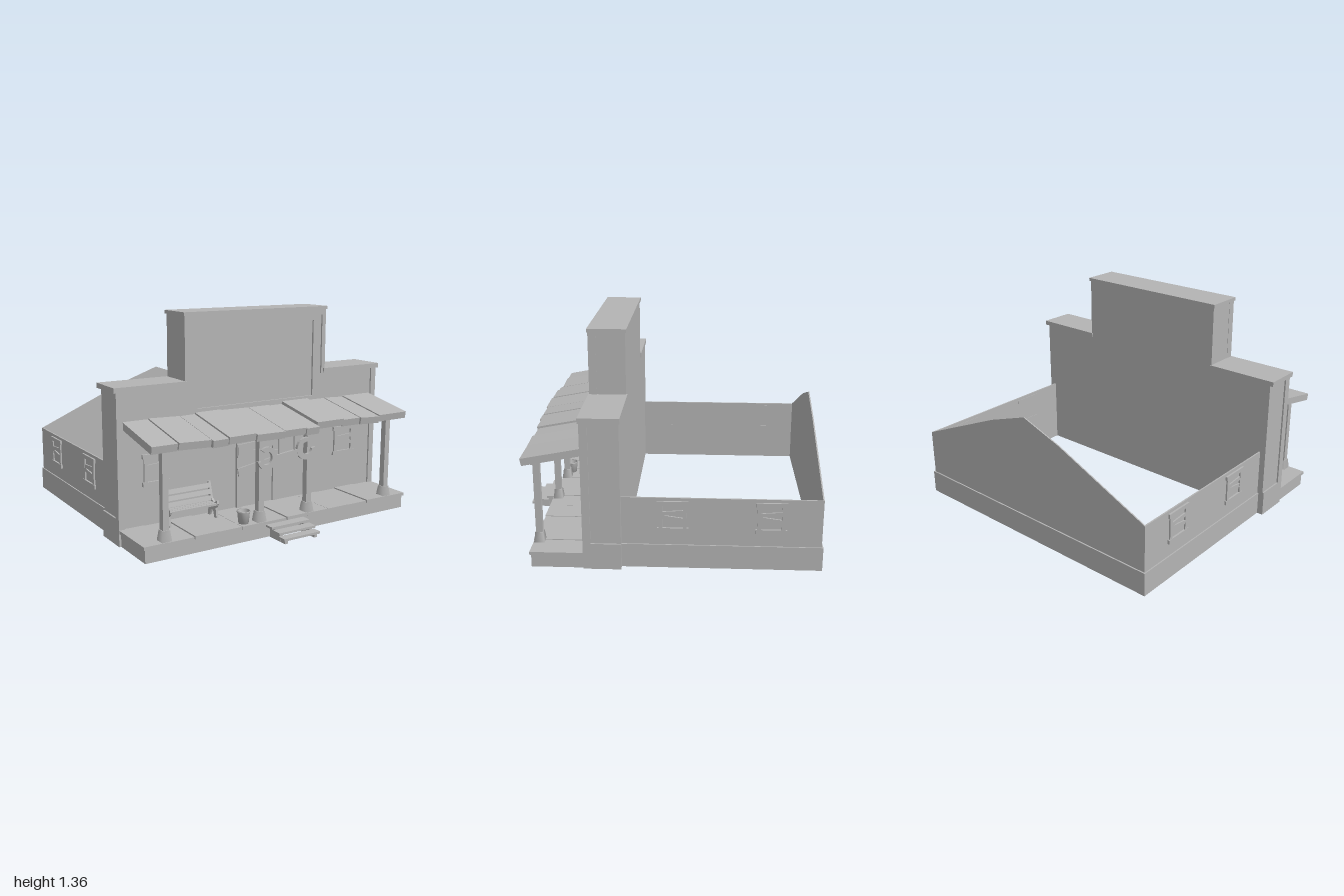
import * as THREE from 'three';

const gray = new THREE.MeshStandardMaterial({ color: 0xb4b4b4, side: THREE.DoubleSide });
gray.name = 'plain gray';

function add(parent, name, geo) {
  const mesh = new THREE.Mesh(geo, gray);
  mesh.name = name;
  parent.add(mesh);
  return mesh;
}

// box given by its extents
function span(parent, name, x0, x1, y0, y1, z0, z1) {
  const mesh = add(parent, name, new THREE.BoxGeometry(x1 - x0, y1 - y0, z1 - z0));
  mesh.position.set((x0 + x1) / 2, (y0 + y1) / 2, (z0 + z1) / 2);
  return mesh;
}

function group(parent, name) {
  const g = new THREE.Group();
  g.name = name;
  parent.add(g);
  return g;
}

const poly = pts => new THREE.Shape(pts.map(p => new THREE.Vector2(p[0], p[1])));

function plate(parent, name, shape, z0, z1) {
  const mesh = add(parent, name, new THREE.ExtrudeGeometry(shape, { depth: z1 - z0, bevelEnabled: false, curveSegments: 10 }));
  mesh.position.z = z0;
  return mesh;
}

// stepped outline of the false front, from bottom right to bottom left
const stepped = (w, h, topW, topH) => [[w, 0], [w, h], [topW, h], [topW, topH], [-topW, topH], [-topW, h], [-w, h], [-w, 0]];

function buildFacade(root) {
  const g = group(root, 'falseFront');
  const outer = stepped(0.985, 0.925, 0.532, 1.345);
  const inner = stepped(0.945, 0.92, 0.503, 1.31);
  plate(g, 'facadeBorder', poly([...outer, ...inner.reverse()]), 0.42, 0.468);
  const panel = poly(stepped(0.965, 0.925, 0.525, 1.34));
  panel.holes.push(new THREE.Path([[-0.443, 0.775], [-0.443, 1.273], [0.44, 1.273], [0.44, 0.775]].map(p => new THREE.Vector2(...p))));
  plate(g, 'facadePanel', panel, 0.435, 0.457);
  span(g, 'signBoard', -0.45, 0.45, 0.77, 1.28, 0.435, 0.444);
  plate(g, 'facadeBack', poly(stepped(0.975, 0.925, 0.53, 1.345)), 0.24, 0.25);
  for (const s of [-1, 1]) {
    const side = (name, a, b, ...rest) => span(g, name, Math.min(a * s, b * s), Math.max(a * s, b * s), ...rest);
    side('facadeSide', 0.965, 0.975, 0.1, 0.925, 0.245, 0.43);
    side('facadeSideBase', 0.965, 0.985, 0, 0.165, 0.24, 0.43);
    side('upperFacadeSide', 0.52, 0.53, 0.93, 1.345, 0.245, 0.43);
    side('lowerCap', 0.52, 1, 0.922, 0.953, 0.232, 0.474);
  }
  span(g, 'upperCap', -0.54, 0.54, 1.342, 1.364, 0.232, 0.474);
}

// boarded window facing +z, centred on its origin
function buildWindow(root, x, y, z, turn) {
  const g = group(root, 'window');
  for (const s of [-1, 1]) {
    span(g, 'windowSill', -0.093, 0.093, s * 0.085 - 0.013, s * 0.085 + 0.013, -0.013, 0.012);
    span(g, 'windowJamb', s * 0.072 - 0.011, s * 0.072 + 0.011, -0.085, 0.085, -0.004, 0.01);
  }
  for (const [by, tilt] of [[0.024, 0.08], [-0.012, -0.14]]) {
    const b = span(g, 'windowBoard', -0.07, 0.07, by - 0.012, by + 0.012, 0, 0.009);
    b.rotation.z = tilt;
  }
  g.position.set(x, y, z);
  g.rotation.y = turn;
}

function buildBackHall(root) {
  const g = group(root, 'rearHall');
  for (const s of [-1, 1]) {
    const wall = span(g, 'sideWall', -0.005, 0.005, 0.14, 0.45, -0.945, 0.245);
    wall.position.x = s * 0.932;
    const base = span(g, 'sideWallBase', -0.008, 0.008, 0, 0.15, -0.955, 0.245);
    base.position.x = s * 0.937;
    for (const z of [-0.065, -0.645]) buildWindow(g, s * 0.937, 0.333, z, s * Math.PI / 2);
  }
  plate(g, 'gableWall', poly([[-0.937, 0.14], [0.937, 0.14], [0.937, 0.45], [0.29, 0.73], [0, 0.83], [-0.29, 0.73], [-0.937, 0.45]]), -0.947, -0.939);
  span(g, 'gableWallBase', -0.945, 0.945, 0, 0.15, -0.956, -0.94);
}

function buildPorch(root) {
  const g = group(root, 'porch');
  // skirt boards and deck planks
  span(g, 'deckFrontSkirt', -0.972, 0.972, 0, 0.088, 0.765, 0.782);
  for (const s of [-1, 1]) span(g, 'deckSideSkirt', s * 0.964 - 0.008, s * 0.964 + 0.008, 0, 0.088, 0.46, 0.78);
  const cuts = [-0.984, -0.82, -0.655, -0.49, -0.33, -0.16, 0.0, 0.16, 0.325, 0.485, 0.65, 0.82, 0.984];
  for (let i = 0; i < cuts.length - 1; i++) {
    const dy = [0, -0.003, 0.004, 0][i % 4];
    span(g, 'deckPlank', cuts[i] + 0.001, cuts[i + 1] - 0.001, 0.082 + dy, 0.102 + dy, 0.455, 0.79 + dy);
  }
  // posts with tapered feet
  for (const x of [-0.834, -0.182, 0.179, 0.829]) {
    span(g, 'post', x - 0.019, x + 0.019, 0.1, 0.66, 0.733, 0.773);
    const foot = add(g, 'postFoot', new THREE.CylinderGeometry(0.034, 0.046, 0.065, 4).rotateY(Math.PI / 4));
    foot.position.set(x, 0.135, 0.753);
  }
  span(g, 'porchBeam', -0.92, 0.92, 0.635, 0.665, 0.738, 0.768);
  // uneven awning planks: x0, x1, front z, lift, roll
  const planks = [
    [-0.945, -0.78, 0.825, 0, 0], [-0.777, -0.565, 0.83, 0, -0.04], [-0.565, -0.46, 0.845, -0.004, 0.02],
    [-0.46, -0.275, 0.85, 0.006, 0.01], [-0.275, -0.07, 0.86, 0, -0.02], [-0.07, 0.09, 0.85, -0.002, 0],
    [0.09, 0.19, 0.855, -0.006, 0.01], [0.19, 0.4, 0.83, 0.012, 0], [0.4, 0.54, 0.82, 0, 0],
    [0.54, 0.7, 0.83, -0.002, -0.05], [0.7, 0.935, 0.825, 0, 0]];
  for (const [x0, x1, zf, lift, roll] of planks) {
    const len = (zf - 0.455) / Math.cos(0.19);
    const p = add(g, 'awningPlank', new THREE.BoxGeometry(x1 - x0 - 0.003, 0.045, len).translate(0, -0.0225, len / 2));
    p.position.set((x0 + x1) / 2, 0.748 + lift, 0.458);
    p.rotation.set(0.19, 0, roll);
  }
  // entry steps
  const treads = [[0.785, 0.85, 0.075, -0.155, 0.13], [0.84, 0.905, 0.052, -0.14, 0.135], [0.895, 0.955, 0.03, -0.14, 0.13]];
  for (const [z0, z1, y, x0, x1] of treads) {
    span(g, 'stepTread', x0, x1, y - 0.007, y + 0.007, z0, z1);
    for (const x of [-0.115, 0.105]) span(g, 'stepSupport', x - 0.01, x + 0.01, 0, y, z0, z1 - 0.012);
  }
}

function buildDoor(root) {
  const g = group(root, 'boardedDoor');
  for (const x of [-0.145, 0.135]) span(g, 'doorJamb', x - 0.018, x + 0.018, 0.1, 0.56, 0.45, 0.472);
  span(g, 'doorLintel', -0.175, 0.165, 0.545, 0.58, 0.45, 0.476);
  span(g, 'doorLeaf', -0.13, 0.12, 0.1, 0.55, 0.45, 0.46);
  for (const [y, tilt] of [[0.36, 0.15], [0.44, -0.12], [0.5, 0.06]]) {
    const b = span(g, 'doorBoard', -0.16, 0.155, y - 0.026, y + 0.026, 0.47, 0.482);
    b.rotation.z = tilt;
  }
}

// double ended spanner hung from the awning
function buildSpanner(root) {
  const g = group(root, 'hangingSpanner');
  const head = (x, y, open) => {
    const s = new THREE.Shape();
    s.absarc(0, 0, 0.07, 0.55, Math.PI * 2 - 0.55, false);
    s.absarc(0.006, 0, 0.04, Math.PI * 2 - 0.8, 0.8, true);
    const m = plate(g, 'spannerHead', s, 0.782, 0.802);
    m.position.set(x, y, 0.782);
    m.rotation.z = open;
  };
  head(-0.158, 0.5, Math.PI - 0.35);
  head(0.132, 0.525, 0.6);
  plate(g, 'spannerHandle', poly([[-0.105, 0.465], [0.075, 0.485], [0.075, 0.53], [-0.105, 0.51]]), 0.784, 0.8);
  for (const x of [-0.07, 0.047]) {
    const c = add(g, 'spannerChain', new THREE.CylinderGeometry(0.006, 0.006, 0.13, 6));
    c.position.set(x, 0.58, 0.792);
  }
}

function buildBench(root) {
  const g = group(root, 'bench');
  // curved side profile in z (across) and y (up)
  const side = poly([[0.575, 0.1], [0.55, 0.1], [0.535, 0.145], [0.51, 0.145], [0.49, 0.1], [0.47, 0.1], [0.485, 0.18],
    [0.468, 0.315], [0.482, 0.315], [0.512, 0.215], [0.545, 0.195], [0.58, 0.215], [0.585, 0.195], [0.565, 0.165]]);
  for (const x of [-0.7, -0.372]) {
    const m = plate(g, 'benchSide', side, 0, 0.014);
    m.rotation.y = -Math.PI / 2;
    m.position.set(x + 0.007, 0, 0);
  }
  for (let i = 0; i < 3; i++) {
    span(g, 'seatSlat', -0.705, -0.367, 0.185, 0.197, 0.508 + i * 0.026, 0.53 + i * 0.026);
    const y = 0.215 + i * 0.038;
    const b = span(g, 'backSlat', -0.705, -0.367, y - 0.015, y + 0.015, 0.502 - i * 0.01, 0.512 - i * 0.01);
    b.rotation.x = -0.28;
  }
}

function buildBucket(root) {
  const profile = [[0, 0], [0.031, 0], [0.039, 0.072], [0.042, 0.072], [0.042, 0.08], [0.036, 0.08], [0.028, 0.012], [0, 0.012]];
  const b = add(root, 'bucket', new THREE.LatheGeometry(profile.map(p => new THREE.Vector2(...p)), 12));
  b.position.set(-0.285, 0.1, 0.735);
}

export function createModel() {
  const root = new THREE.Group();
  root.name = 'frontierWorkshop';
  buildFacade(root);
  buildBackHall(root);
  buildPorch(root);
  buildDoor(root);
  buildSpanner(root);
  buildBench(root);
  buildBucket(root);
  buildWindow(root, -0.73, 0.44, 0.459, 0);
  buildWindow(root, 0.715, 0.44, 0.459, 0);
  return root;
}
